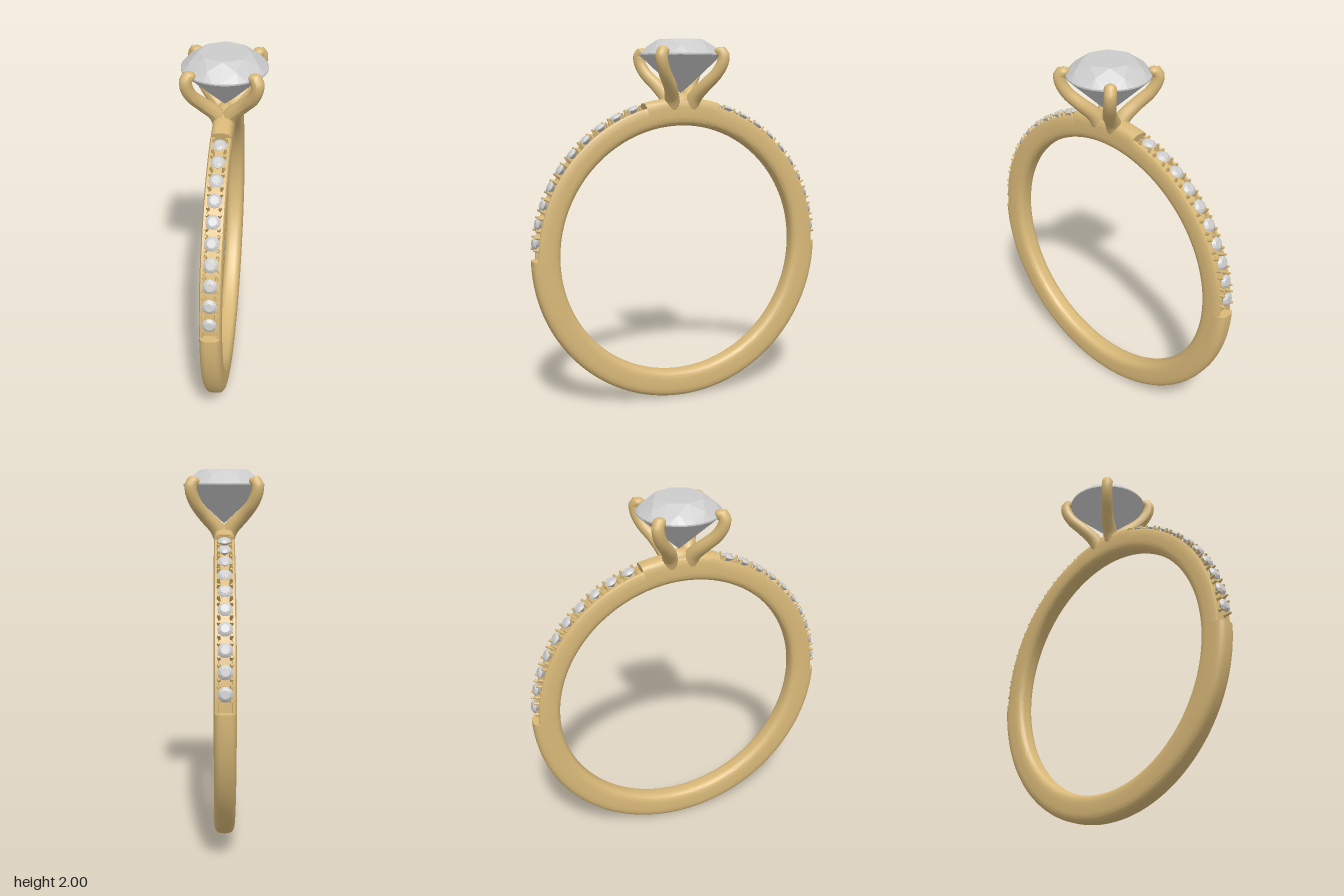
import * as THREE from 'three';
import { toCreasedNormals } from 'three/addons/utils/BufferGeometryUtils.js';
import { ConvexGeometry } from 'three/addons/geometries/ConvexGeometry.js';

const CENTRE = 0.845; // height of the ring axis
const RAD = Math.PI / 180;
const gold = new THREE.MeshStandardMaterial({ color: 0xd8b878 });
const goldCap = new THREE.MeshStandardMaterial({ color: 0xd8b878, side: THREE.DoubleSide });
const gem = new THREE.MeshStandardMaterial({ color: 0xcccccc, flatShading: true });

function mesh(name, geometry, material, parent) {
  const m = new THREE.Mesh(geometry, material);
  m.name = name;
  parent.add(m);
  return m;
}

// Points of a softly squared section (radius, width) between two angles
function roundedSection(from, to, steps, outer) {
  const pow = (v) => Math.sign(v) * Math.abs(v) ** 0.62;
  const mid = (0.695 + outer) / 2, half = (outer - 0.695) / 2;
  return Array.from({ length: steps + 1 }, (_, i) => {
    const a = (from + (to - from) * i / steps) * RAD;
    return new THREE.Vector2(mid + half * pow(Math.cos(a)), 0.055 * pow(Math.sin(a)));
  });
}

// Section swept about the ring axis; angles in degrees up from the front
function bandArc(name, section, from, to, parent) {
  const lathe = new THREE.LatheGeometry(section, Math.ceil((to - from) / 2.5), -to * RAD, (to - from) * RAD);
  lathe.rotateZ(-Math.PI / 2);
  const part = new THREE.Group();
  part.name = name;
  mesh(name + 'Surface', toCreasedNormals(lathe, 40 * RAD), gold, part);
  const shape = new THREE.Shape(section.map((p) => new THREE.Vector2(p.y, p.x)));
  for (const angle of [from, to]) {
    mesh(name + 'End', new THREE.ShapeGeometry(shape), goldCap, part).rotation.x = (90 - angle) * RAD;
  }
  parent.add(part);
}

// Round brilliant, girdle at y = 0
function brilliant() {
  const pts = [new THREE.Vector3(0, -0.205, 0)];
  const ring = (n, r, y, shift) => {
    for (let i = 0; i < n; i++) {
      const a = (i + shift) / n * Math.PI * 2;
      pts.push(new THREE.Vector3(r * Math.sin(a), y, r * Math.cos(a)));
    }
  };
  ring(8, 0.13, 0.08, 0);
  ring(8, 0.184, 0.044, 0.5);
  ring(32, 0.22, 0.004, 0);
  ring(32, 0.22, -0.004, 0);
  ring(8, 0.05, -0.163, 0.5);
  return new ConvexGeometry(pts);
}

// Tube whose thickness follows radiusAt(t)
function taperedTube(points, radiusAt) {
  const curve = new THREE.CatmullRomCurve3(points.map((p) => new THREE.Vector3(...p)));
  const steps = 28, sides = 14;
  const geo = new THREE.TubeGeometry(curve, steps, 1, sides);
  const pos = geo.attributes.position, v = new THREE.Vector3();
  for (let i = 0; i < pos.count; i++) {
    const t = Math.floor(i / (sides + 1)) / steps;
    const c = curve.getPointAt(t);
    v.fromBufferAttribute(pos, i).sub(c).multiplyScalar(radiusAt(t)).add(c);
    pos.setXYZ(i, v.x, v.y, v.z);
  }
  geo.computeVertexNormals();
  return geo;
}

export function createModel() {
  const model = new THREE.Group();
  model.name = 'solitaireRing';

  // Band: plain lower half, two channelled shoulders, plain bridge under the head
  const band = new THREE.Group();
  band.name = 'band';
  band.position.y = CENTRE;
  model.add(band);
  const plain = roundedSection(-180, 180, 48, 0.845);
  const channel = [
    ...roundedSection(-180, -90, 12, 0.845),
    ...[[0.805, -0.054], [0.816, -0.048], [0.816, -0.034], [0.798, -0.032],
      [0.798, 0.032], [0.816, 0.034], [0.816, 0.048], [0.805, 0.054]].map((p) => new THREE.Vector2(...p)),
    ...roundedSection(90, 180, 12, 0.845),
  ];
  bandArc('lowerBand', plain, -180, 0, band);
  bandArc('frontShoulder', channel, 0, 75, band);
  bandArc('backShoulder', channel, 105, 180, band);
  bandArc('bridge', plain, 75, 105, band);

  // Ten small stones on each shoulder, each held by four claws
  const stoneGeo = brilliant();
  const clawGeo = new THREE.CylinderGeometry(0.006, 0.011, 0.044, 8);
  for (let i = 0; i < 10; i++) {
    const angle = 6.5 + i * 7.1;
    for (const a of [angle, 180 - angle]) {
      const setting = new THREE.Group();
      setting.name = 'smallStoneSetting';
      setting.rotation.x = (90 - a) * RAD;
      band.add(setting);
      const stone = mesh('smallStone', stoneGeo, gem, setting);
      stone.scale.setScalar(0.165);
      stone.position.y = 0.832;
      for (const x of [-0.031, 0.031]) for (const z of [-0.033, 0.033]) {
        mesh('claw', clawGeo, gold, setting).position.set(x, 0.82, z);
      }
    }
  }

  // Head: base collar and four curved prongs
  const head = new THREE.Group();
  head.name = 'head';
  model.add(head);
  const collar = mesh('collar', new THREE.SphereGeometry(1, 28, 16), gold, head);
  collar.scale.set(0.045, 0.05, 0.1);
  collar.position.y = 1.665;
  for (const sx of [-1, 1]) for (const sz of [-1, 1]) {
    const path = [
      [0.012, 1.635, 0.055], [0.04, 1.69, 0.065], [0.1, 1.755, 0.1],
      [0.15, 1.82, 0.148], [0.173, 1.88, 0.173], [0.173, 1.922, 0.175], [0.16, 1.935, 0.162],
    ].map(([x, y, z]) => [sx * x, y, sz * z]);
    const prong = new THREE.Group();
    prong.name = 'prong';
    head.add(prong);
    mesh('prongStem', taperedTube(path, (t) => 0.032 + 0.012 * (1 - t) ** 2), gold, prong);
    const tip = mesh('prongTip', new THREE.SphereGeometry(0.032, 16, 12), gold, prong);
    tip.position.set(...path[6]);
    tip.scale.y = 0.75;
  }

  // Large centre stone
  mesh('centreStone', stoneGeo, gem, model).position.y = 1.92;
  return model;
}
